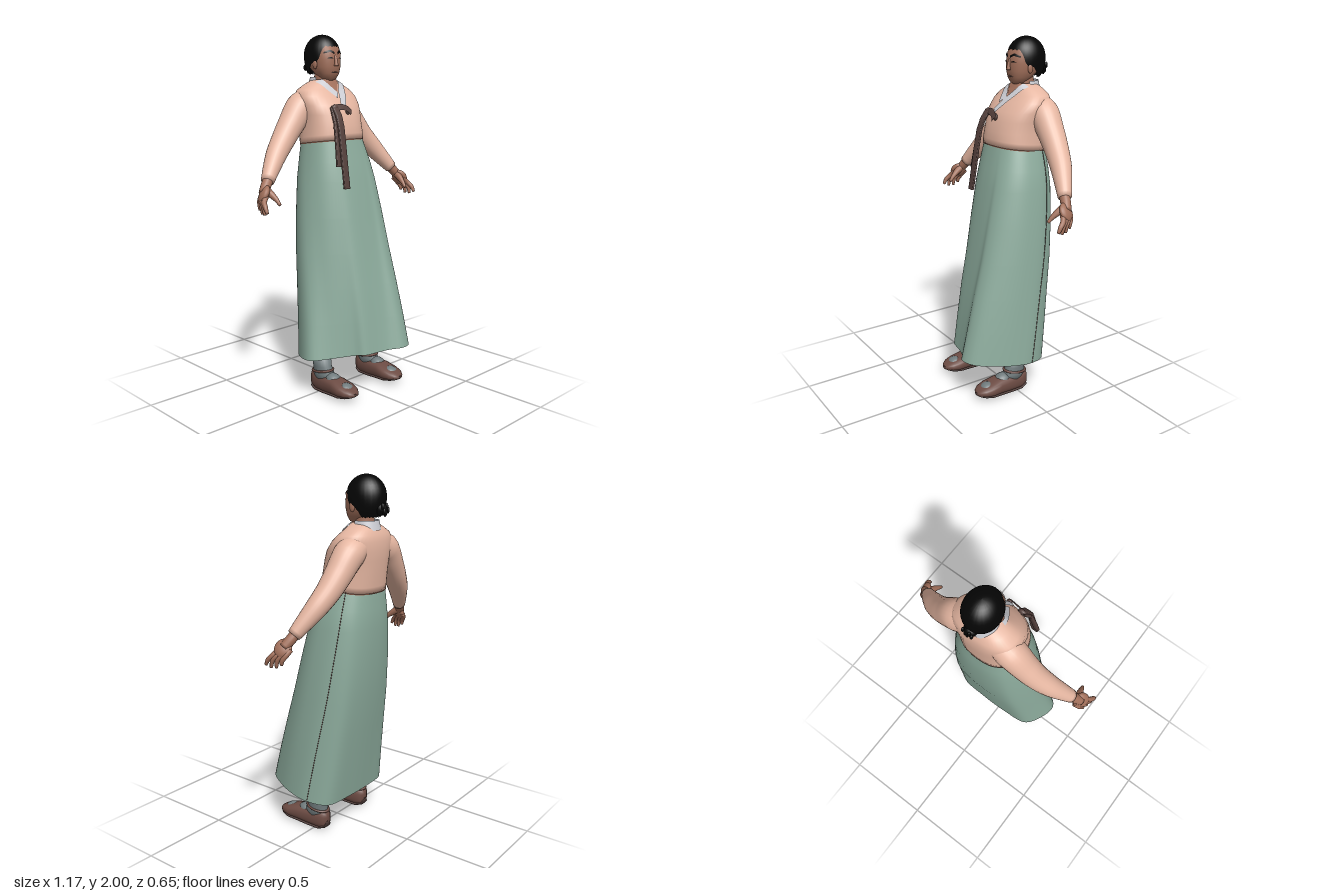
import * as THREE from 'three';

const V = (x, y, z) => new THREE.Vector3(x, y, z);
const mat = (name, color, side = THREE.FrontSide) => {
  const m = new THREE.MeshStandardMaterial({ color, side });
  m.name = name;
  return m;
};

// Skin over a list of closed rings (counter-clockwise about the direction of travel)
function loft(rings, caps = true) {
  const n = rings[0].length, pos = [], idx = [];
  rings.forEach(r => r.forEach(p => pos.push(p.x, p.y, p.z)));
  for (let i = 0; i < rings.length - 1; i++) for (let j = 0; j < n; j++) {
    const a = i * n + j, b = i * n + (j + 1) % n;
    idx.push(a, b, b + n, a, b + n, a + n);
  }
  if (caps) [0, rings.length - 1].forEach(i => {
    const c = rings[i].reduce((s, p) => s.add(p), V(0, 0, 0)).divideScalar(n), k = pos.length / 3;
    pos.push(c.x, c.y, c.z);
    for (let j = 0; j < n; j++) {
      const a = i * n + j, b = i * n + (j + 1) % n;
      i ? idx.push(a, b, k) : idx.push(b, a, k);
    }
  });
  return build(pos, idx);
}

function build(pos, idx) {
  const g = new THREE.BufferGeometry();
  g.setAttribute('position', new THREE.Float32BufferAttribute(pos, 3));
  g.setIndex(idx);
  g.computeVertexNormals();
  return g;
}

// Open band between two smooth edges, a above or left of b
function strip(a, b, fix, n = 16) {
  const pa = new THREE.CatmullRomCurve3(a).getPoints(n), pb = new THREE.CatmullRomCurve3(b).getPoints(n);
  const pos = [], idx = [];
  pa.forEach((p, i) => {
    for (let k = 0; k <= 4; k++) pos.push(...fix(p.clone().lerp(pb[i], k / 4)).toArray());
    if (i) for (let k = 0; k < 4; k++) {
      const q = i * 5 + k;
      idx.push(q - 5, q + 1, q, q - 5, q - 4, q + 1);
    }
  });
  return build(pos, idx);
}

// Tapered tube along a smooth path
function limb(points, radii, n = 16, steps = 20) {
  const c = new THREE.CatmullRomCurve3(points), f = c.computeFrenetFrames(steps);
  const rings = [];
  for (let i = 0; i <= steps; i++) {
    const u = i / steps, t = c.getUtoTmapping(u) * (radii.length - 1);
    const k = Math.min(Math.floor(t), radii.length - 2);
    const r = THREE.MathUtils.lerp(radii[k], radii[k + 1], t - k), p = c.getPointAt(u);
    rings.push(Array.from({ length: n }, (_, j) => {
      const a = j / n * Math.PI * 2;
      return p.clone().addScaledVector(f.normals[i], Math.cos(a) * r).addScaledVector(f.binormals[i], Math.sin(a) * r);
    }));
  }
  return loft(rings);
}

// Horizontal superellipse ring from [y, halfWidth, zFront, zBack]
const pw = (v, e) => Math.sign(v) * Math.abs(v) ** (2 / e);
const ring = ([y, w, f, b], e, n = 40, x = 0) => Array.from({ length: n }, (_, j) => {
  const a = j / n * Math.PI * 2;
  return V(x + w * pw(Math.sin(a), e), y, (f + b) / 2 + (f - b) / 2 * pw(Math.cos(a), e));
});
// Jacket ring, dipping toward the back near the waist
const jacketRing = r => ring(r, 2.4).map(p => V(p.x, p.y + (r[0] < 1.45 ? (p.z + .117) * .12 : 0), p.z));
// Depth of the front surface of such a body at x, y
function frontZ(rows, x, y, e) {
  let i = 0;
  while (i < rows.length - 2 && rows[i + 1][0] < y) i++;
  const t = THREE.MathUtils.clamp((y - rows[i][0]) / (rows[i + 1][0] - rows[i][0]), 0, 1);
  const [w, f, b] = [1, 2, 3].map(k => THREE.MathUtils.lerp(rows[i][k], rows[i + 1][k], t));
  return (f + b) / 2 + (f - b) / 2 * Math.max(0, 1 - Math.abs(x / w) ** e) ** (1 / e);
}

const TORSO = [[1.405, .181, .038, -.272], [1.44, .181, .038, -.276], [1.5, .178, .03, -.283], [1.56, .182, .015, -.288],
  [1.61, .192, -.008, -.291], [1.66, .195, -.05, -.288], [1.695, .173, -.085, -.279], [1.725, .122, -.108, -.26], [1.752, .067, -.125, -.238]];
const HEAD = [[1.747, .022, -.115, -.17], [1.757, .042, -.1, -.18], [1.785, .064, -.087, -.22], [1.82, .077, -.08, -.26],
  [1.86, .083, -.08, -.28], [1.9, .084, -.083, -.285], [1.94, .078, -.1, -.28], [1.97, .052, -.14, -.25], [1.985, .02, -.18, -.21]];
// Skirt rows: y, xRight, xLeft, zFront, zBack
const SKIRT = [[.2, -.325, .322, .325, -.16], [.4, -.303, .312, .285, -.19], [.6, -.283, .298, .24, -.22], [.8, -.262, .283, .19, -.25],
  [1, -.24, .264, .145, -.27], [1.2, -.214, .237, .098, -.28], [1.3, -.197, .215, .07, -.275], [1.43, -.176, .174, .032, -.262]];
const HEM = [[0, .265], [.07, .285], [.14, .325], [.21, .305], [.28, .195], [.317, .08], [.322, -.03], [.265, -.14],
  [.1, -.16], [-.1, -.16], [-.23, -.145], [-.29, -.08], [-.325, .055], [-.22, .135], [-.125, .195], [-.085, .245]];

export function createModel() {
  const D = THREE.DoubleSide, root = new THREE.Group();
  const peach = mat('jacket peach', 0xe6b7a2), green = mat('skirt green', 0x8dac9d, D), skin = mat('skin', 0xa2705b, D);
  const black = mat('hair black', 0x050505, D), dark = mat('ribbon brown', 0x57423e, D), white = mat('collar white', 0xcdced4, D);
  const grey = mat('sock grey', 0x717c7e), brown = mat('shoe brown', 0x6d4c44), trim = mat('waist trim', 0x94614d, D);
  const legging = mat('legging white', 0xd6c9c7);
  const add = (name, geo, m, p, parent = root) => {
    const o = new THREE.Mesh(geo, m);
    o.name = name;
    if (p) o.position.copy(p);
    parent.add(o);
    return o;
  };
  const ball = (name, m, p, sx, sy, sz, parent) => {
    const o = add(name, new THREE.SphereGeometry(1, 20, 14), m, p, parent);
    o.scale.set(sx, sy, sz);
    return o;
  };

  // Skirt: ellipse at the waist turning into the swaying hem outline
  const hem = new THREE.CatmullRomCurve3(HEM.map(([x, z]) => V(x / .326, 0, (z - .0825) / .2425)), true).getPoints(80).slice(0, 80);
  const skirtRings = SKIRT.map(([y, xl, xr, zf, zb]) => {
    const t = Math.min(1, Math.max(0, (1.43 - y) / 1.23)), k = t ** 1.2;
    return hem.map(h => {
      const a = Math.atan2(h.x, h.z);
      const u = THREE.MathUtils.lerp(pw(Math.sin(a), 2.4), h.x, k), v = THREE.MathUtils.lerp(pw(Math.cos(a), 2.4), h.z, k);
      return V((xl + xr) / 2 + u * (xr - xl) / 2, y + .055 * t ** 3 * (v + 1) / 2, (zf + zb) / 2 + v * (zf - zb) / 2);
    });
  });
  add('skirt', loft(skirtRings, false), green);
  const seam = new THREE.CatmullRomCurve3(skirtRings.map(r => r[30]));
  add('skirtSeam', new THREE.TubeGeometry(seam, 40, .002, 5), dark);

  // Jacket body and its fine waist edge
  add('jacket', loft(TORSO.map(jacketRing)), peach);
  add('waistTrim', loft([[1.403, .182, .039, -.273], [1.408, .182, .039, -.273]].map(jacketRing), false), trim);

  // Neckline: skin opening, crossed collar and back band
  const onChest = d => p => V(p.x, p.y, frontZ(TORSO, p.x, p.y, 2.4) + d);
  const pts = (list, s = 1) => list.map(([x, y]) => V(x * s, y, 0));
  const inner = [[.057, 1.754], [.03, 1.717], [0, 1.68]], outer = [[.092, 1.738], [.063, 1.694], [.03, 1.65]];
  add('neckOpening', strip(pts(inner, -1), pts(inner), onChest(.005)), skin);
  add('collarUnder', strip(pts(outer, -1), pts(inner, -1), onChest(.008)), white);
  add('collarOver', strip(pts([...inner, [-.035, 1.617]]), pts([...outer, [-.008, 1.603]]), onChest(.011)), white);
  add('collarBack', new THREE.CylinderGeometry(.071, .083, .05, 32, 1, true, Math.PI / 2 - .3, Math.PI + .6), white, V(0, 1.74, -.19));

  // Ribbon: bow and two hanging tails, rows of x, y, z
  const tail = (name, path, w) => add(name, loft(path.map(([x, y, z]) => ring([y, w, z + .009, z - .009], 4, 24, x))), dark);
  tail('longTail', [[-.097, 1.165, .108], [-.095, 1.28, .09], [-.093, 1.4, .072], [-.09, 1.5, .054], [-.087, 1.56, .032], [-.085, 1.608, -.002]], .021);
  tail('shortTail', [[-.127, 1.285, .076], [-.118, 1.4, .058], [-.108, 1.52, .034], [-.095, 1.6, -.006]], .016);
  add('bow', strip(pts([[-.1, 1.61], [-.05, 1.62], [0, 1.608], [.022, 1.587]]), pts([[-.1, 1.578], [-.05, 1.588], [-.01, 1.575], [.004, 1.556]]),
    onChest(.02)), dark);
  ball('knot', dark, V(-.082, 1.597, .0), .024, .02, .014);
  ball('bowEnd', dark, V(.004, 1.58, .012), .017, .02, .01);

  // Head
  add('neck', new THREE.CylinderGeometry(.052, .058, .14, 24), skin, V(0, 1.715, -.182));
  add('head', loft(HEAD.map(r => ring(r, 2.3))), skin);
  add('nose', limb([V(0, 1.885, -.086), V(0, 1.85, -.078), V(0, 1.826, -.077)], [.007, .01, .014], 12, 8), skin);
  const onFace = d => p => V(p.x, p.y, frontZ(HEAD, p.x, p.y, 2.3) + d);
  add('mouth', limb([V(-.025, 1.789, 0), V(0, 1.792, 0), V(.025, 1.789, 0)].map(onFace(-.001)), [.002, .005, .002], 8, 8), brown);
  for (const s of [-1, 1]) {
    const edge = list => pts(list, s);
    add('eyebrow', strip(edge([[.01, 1.902], [.035, 1.913], [.066, 1.901]]), edge([[.012, 1.889], [.035, 1.9], [.066, 1.893]]), onFace(.004)), black);
    add('eye', strip(edge([[.018, 1.869], [.034, 1.874], [.051, 1.869]]), edge([[.018, 1.867], [.034, 1.866], [.051, 1.867]]), onFace(.003)), black);
    ball('ear', skin, V(s * .083, 1.835, -.162), .009, .027, .016);
  }
  // Hair cap with its hairline: high at the brow, low at the temples and nape
  const hairRings = [];
  for (let i = 0; i <= 16; i++) hairRings.push(Array.from({ length: 64 }, (_, j) => {
    const a = j / 64 * Math.PI * 2, b = Math.min(a, Math.PI * 2 - a), S = THREE.MathUtils.smoothstep;
    const low = 1.932 - .09 * S(b, .65, 1.2) - .059 * S(b, 1.4, 1.9) + .004 * Math.sin(j * 2.3);
    const th = Math.acos((low - 1.886) / .114) * (1 - i / 16) + 1e-4;
    const r = th > Math.PI / 2 ? (Math.sin(th) + 1) / 2 : Math.sin(th);
    return V(.096 * r * Math.sin(a), 1.886 + .114 * Math.cos(th), -.193 + .111 * r * Math.cos(a));
  }));
  add('hair', loft(hairRings, false), black);
  ball('bun', black, V(0, 1.825, -.287), .036, .034, .034);
  for (let i = 0; i < 5; i++) ball('bunStrand', black, V((i - 2) * .012, 1.82 + .02 * Math.sin(i * 2), -.312), .008, .018, .01);

  for (const s of [-1, 1]) {
    const side = s > 0 ? 'left' : 'right', P = (x, y, z) => V(s * x, y, z);
    // Sleeve
    add(side + 'Sleeve', limb([P(.07, 1.64, -.2), P(.155, 1.602, -.2), P(.235, 1.51, -.192), P(.3, 1.432, -.18), P(.37, 1.355, -.157),
      P(.43, 1.285, -.127), P(.482, 1.222, -.098)], [.07, .084, .074, .066, .058, .047, .036], 24, 28), peach);
    // Hand: wrist running into a flat palm, four curled fingers and a thumb
    const hand = new THREE.Group();
    hand.name = side + 'Hand';
    root.add(hand);
    add('wrist', limb([P(.465, 1.24, -.105), P(.5, 1.2, -.09), P(.53, 1.165, -.072)], [.028, .028, .026], 16, 8), skin, null, hand);
    ball('palm', skin, P(.53, 1.16, -.068), .023, .052, .046, hand).rotation.set(-.35, s * .25, s * .6);
    for (let i = 0; i < 4; i++) {
      const x = .553 - i * .007, z = -.034 - i * .021, tip = .012 - i * .029, y = [1.072, 1.06, 1.062, 1.078][i];
      add('finger', limb([P(x - .018, 1.155, z - .008), P(x + .006, 1.128, z + .004), P(x + .019, 1.1, (z + tip) / 2 + .008),
        P(x + .02, y, tip)], [.014, .0145, .0125, .008], 12, 12), skin, null, hand);
    }
    add('thumb', limb([P(.51, 1.185, -.08), P(.503, 1.16, -.042), P(.495, 1.135, -.01), P(.49, 1.108, .014)], [.022, .019, .013, .008], 12, 12), skin, null, hand);

    // Leg, sock and shoe
    const foot = new THREE.Group();
    foot.name = side + 'Foot';
    foot.position.x = s * .182;
    root.add(foot);
    add('legging', new THREE.CylinderGeometry(.06, .046, .5, 20), legging, V(0, .44, -.015), foot);
    add('sock', loft([[.07, .046, .085, -.065], [.11, .046, .078, -.064], [.15, .046, .054, -.066], [.198, .05, .045, -.07]].map(r => ring(r, 2, 24))), grey, null, foot);
    ball('instep', grey, V(0, .085, .085), .042, .036, .05, foot).rotation.x = .2;
    ball('toePatch', grey, V(0, .073, .195), .034, .018, .034, foot).rotation.x = .3;
    // Shoe sections from heel to toe: z, halfWidth, bottom, top
    const shoe = [[-.076, .014, .04, .09], [-.066, .036, .012, .114], [-.03, .048, .002, .112], [.04, .051, .003, .106], [.12, .06, .012, .104],
      [.18, .066, .017, .088], [.225, .055, .024, .075], [.25, .036, .031, .062], [.262, .012, .038, .05]];
    const shoeLoft = rows => loft(rows.map(([z, w, lo, hi]) => Array.from({ length: 24 }, (_, j) => {
      const a = j / 24 * Math.PI * 2;
      return V(w * pw(Math.cos(a), 2.5), (lo + hi) / 2 + (hi - lo) / 2 * pw(Math.sin(a), 2.5), z);
    })));
    add('shoe', shoeLoft(shoe), brown, null, foot);
    add('sole', shoeLoft(shoe.map(([z, w, lo]) => [z, w * .96, lo - .002, lo + .016])), dark, null, foot);
    const strap = add('ankleStrap', new THREE.TorusGeometry(.053, .007, 8, 28), brown, V(0, .122, -.002), foot);
    strap.rotation.x = Math.PI / 2 - .15;
    strap.scale.set(.92, 1.26, 1);
  }
  return root;
}
